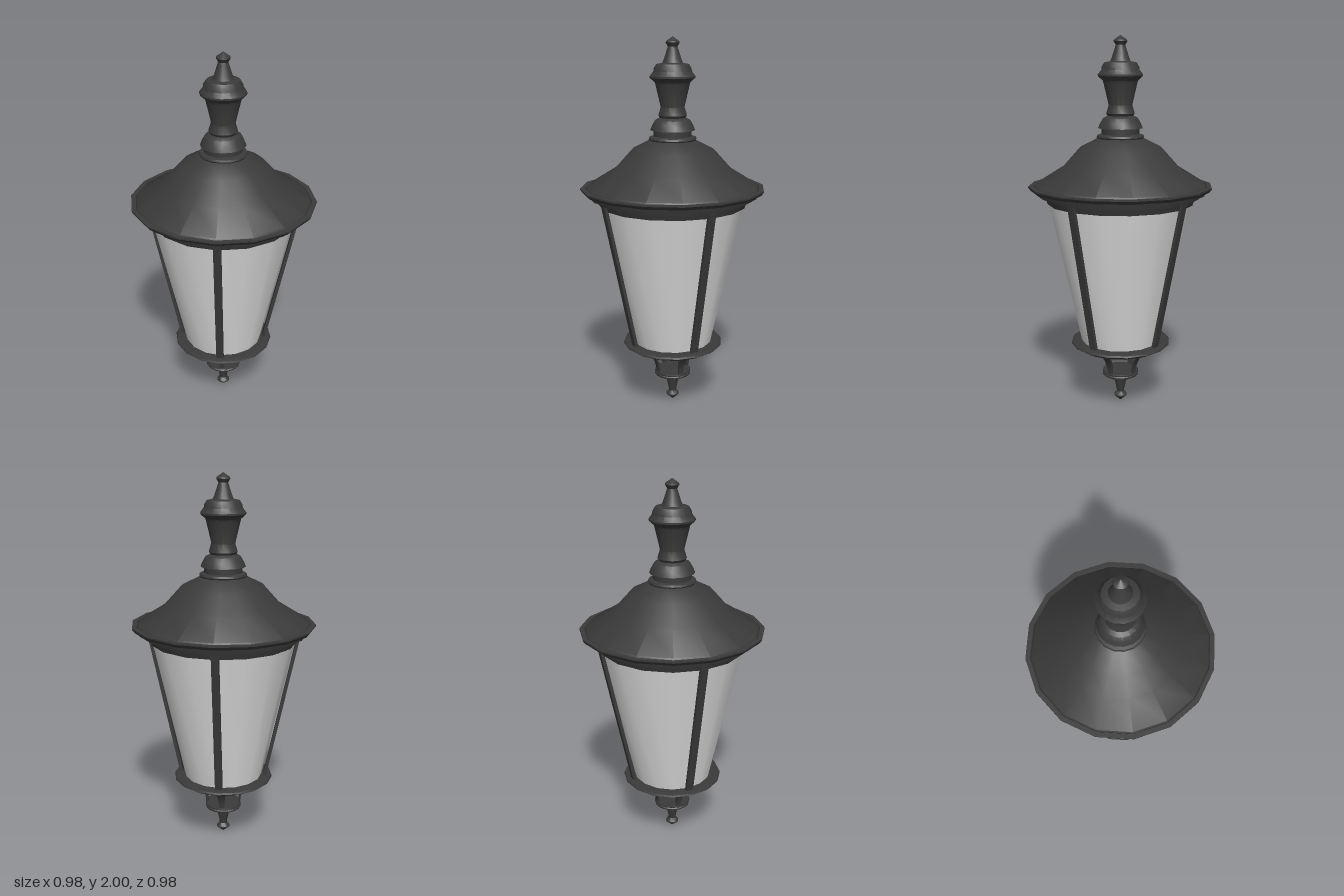
import * as THREE from 'three';
import { toCreasedNormals } from 'three/addons/utils/BufferGeometryUtils.js';

const SIDES = 16;

export function createModel() {
  const lantern = new THREE.Group();
  lantern.name = 'lantern';

  const iron = new THREE.MeshStandardMaterial({ color: 0x3a3a3a });
  iron.name = 'dark iron';
  const frosted = new THREE.MeshStandardMaterial({ color: 0xdedede, side: THREE.DoubleSide });
  frosted.name = 'frosted glass';

  const add = (name, geometry, material = iron) => {
    const mesh = new THREE.Mesh(geometry, material);
    mesh.name = name;
    lantern.add(mesh);
    return mesh;
  };

  // Turned part from [radius, height] pairs, listed from bottom to top
  const turned = (name, profile, material) => {
    const points = profile.map(([r, y]) => new THREE.Vector2(r, y));
    return add(name, toCreasedNormals(new THREE.LatheGeometry(points, SIDES), 0.6), material);
  };

  // Flat strip: outline in radius and height, extruded to a width that may vary with height
  const strip = (outline, widthAt) => {
    const shape = new THREE.Shape(outline.map(([r, y]) => new THREE.Vector2(r, y)));
    const geometry = new THREE.ExtrudeGeometry(shape, { depth: 1, bevelEnabled: false });
    const p = geometry.attributes.position;
    for (let i = 0; i < p.count; i++) p.setZ(i, (p.getZ(i) - 0.5) * widthAt(p.getY(i)));
    geometry.computeVertexNormals();
    return toCreasedNormals(geometry, 0.6);
  };

  // Bottom finial and cup
  turned('bottomFinial', [
    [0, 0], [0.035, 0.03], [0.035, 0.038], [0.02, 0.055], [0.022, 0.07], [0.036, 0.135],
    [0.068, 0.143], [0.072, 0.155], [0.098, 0.16], [0.1, 0.168], [0.095, 0.173],
    [0.1, 0.178], [0.098, 0.186], [0, 0.186],
  ]);

  // Lower ring with an open centre
  turned('lowerRing', [
    [0.12, 0.365], [0.12, 0.325], [0.222, 0.325], [0.23, 0.338], [0.255, 0.342],
    [0.272, 0.353], [0.268, 0.362], [0.245, 0.368], [0.12, 0.365],
  ]);

  // Tapered glass shade
  turned('glassShade', [[0.212, 0.36], [0.382, 1.14]], frosted);

  // Stepped cornice and roof
  turned('cornice', [
    [0, 1.13], [0.388, 1.13], [0.398, 1.16], [0.418, 1.163], [0.422, 1.178],
    [0.45, 1.182], [0.454, 1.198], [0.475, 1.202], [0.488, 1.218], [0.488, 1.226],
    [0.464, 1.226], [0.46, 1.218],
  ]);
  turned('roof', [
    [0.462, 1.218], [0.455, 1.232], [0.31, 1.322], [0.217, 1.425], [0.122, 1.473],
    [0.126, 1.48], [0.122, 1.49], [0.1, 1.495],
  ]);

  // Chimney: collar, dome, waisted neck and crown
  turned('chimney', [
    [0.1, 1.49], [0.1, 1.525], [0.118, 1.526], [0.108, 1.55], [0.092, 1.578], [0.068, 1.59],
    [0.075, 1.602], [0.062, 1.645], [0.088, 1.755], [0.092, 1.77], [0.118, 1.793],
    [0.118, 1.802], [0.1, 1.825], [0.098, 1.84], [0.085, 1.862], [0.055, 1.868],
  ]);
  turned('topFinial', [
    [0.055, 1.866], [0.046, 1.885], [0.028, 1.94], [0.025, 1.95], [0.036, 1.968], [0.034, 1.976], [0, 2],
  ]);

  // Bars over the glass, one on each axis
  const bar = strip([[0.222, 0.36], [0.24, 0.36], [0.41, 1.17], [0.392, 1.17]], () => 0.04);

  // Curved legs below: quarter arcs with an outer and an inner edge
  const arc = (inset) => Array.from({ length: 9 }, (_, i) => {
    const a = (i / 8) * Math.PI / 2;
    return [0.215 - (0.12 + inset) * Math.cos(a), 0.183 + (0.144 + inset) * Math.sin(a)];
  });
  const leg = strip([...arc(0), ...arc(0.011).reverse()],
    (y) => 0.025 + 0.03 * THREE.MathUtils.clamp((y - 0.183) / 0.15, 0, 1));

  for (let i = 0; i < 4; i++) {
    add('frameBar', bar).rotation.y = i * Math.PI / 2;
    add('curvedLeg', leg).rotation.y = i * Math.PI / 2;
  }

  return lantern;
}
